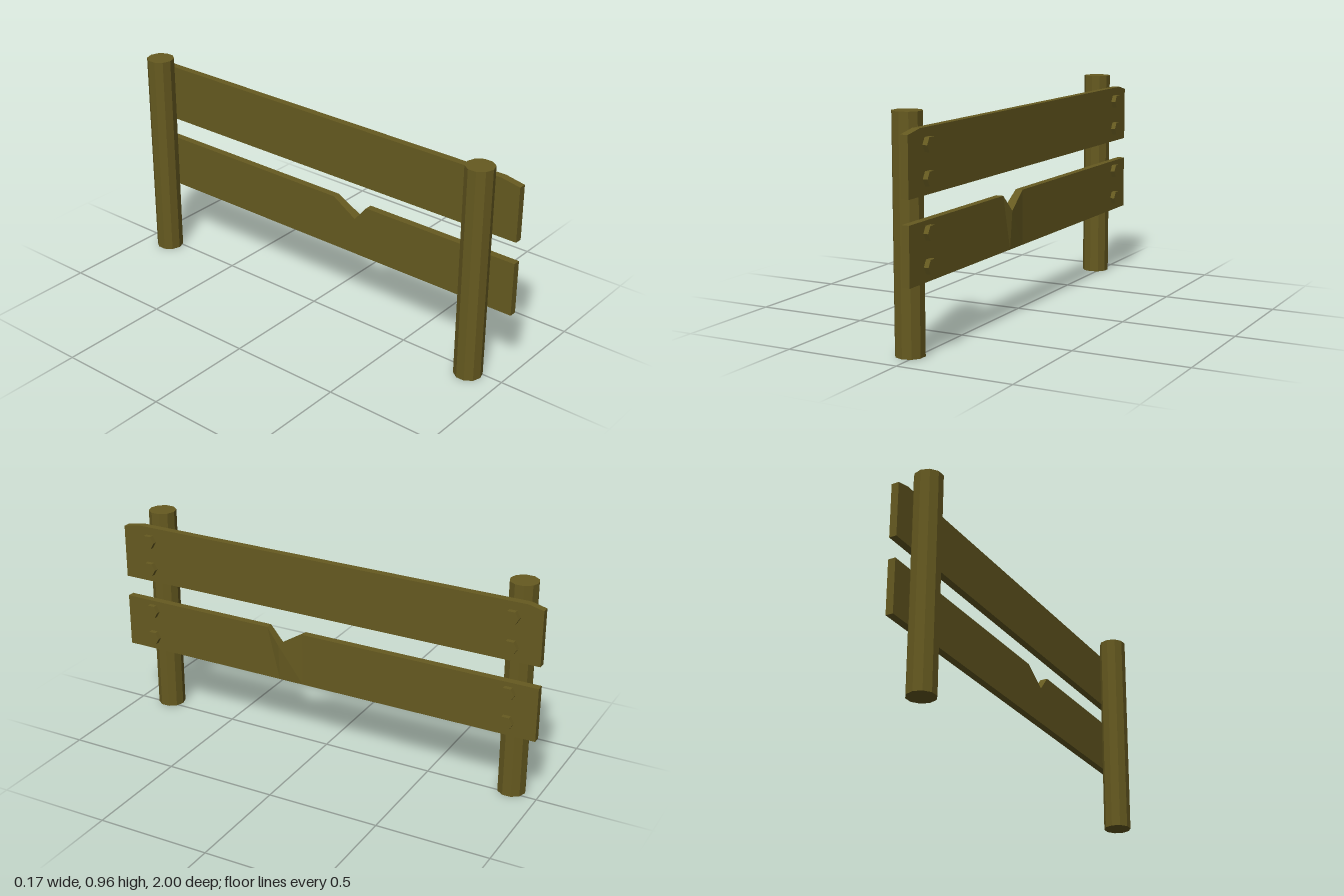
import * as THREE from 'three';

const wood = new THREE.MeshStandardMaterial({ color: 0x665a20, flatShading: true });

function add(group, name, geometry, x = 0, y = 0, z = 0) {
  const mesh = new THREE.Mesh(geometry, wood);
  mesh.name = name;
  mesh.position.set(x, y, z);
  group.add(mesh);
  return mesh;
}

// Plank lofted along z from sections [z, top y, outward push of the front top edge]
function plankGeometry(bottom, sections) {
  const back = 0.032, front = 0.065;
  const rings = sections.map(([z, top, push = 0]) => [
    [back, bottom, z], [front, bottom, z], [front + push, top, z], [back, top, z],
  ]);
  const pos = [];
  const quad = (a, b, c, d) => pos.push(...a, ...b, ...c, ...a, ...c, ...d);
  for (let i = 0; i < rings.length - 1; i++) {
    const a = rings[i], b = rings[i + 1];
    for (let j = 0; j < 4; j++) {
      const k = (j + 1) % 4;
      quad(a[j], a[k], b[k], b[j]);
    }
  }
  const first = rings[0], last = rings[rings.length - 1];
  quad(first[0], first[3], first[2], first[1]);
  quad(last[0], last[1], last[2], last[3]);
  const geometry = new THREE.BufferGeometry();
  geometry.setAttribute('position', new THREE.Float32BufferAttribute(pos, 3));
  geometry.computeVertexNormals();
  return geometry;
}

export function createModel() {
  const group = new THREE.Group();
  group.name = 'fence';

  // Ten-sided posts
  const post = new THREE.CylinderGeometry(0.0615, 0.0615, 0.96, 10);
  add(group, 'postNear', post, -0.0285, 0.48, 0.853);
  add(group, 'postFar', post, -0.0285, 0.48, -0.878);

  // Upper plank with clipped top corners
  add(group, 'upperPlank', plankGeometry(0.645, [
    [-1, 0.887], [-0.935, 0.903], [0.915, 0.903], [1, 0.887],
  ]));

  // Lower plank with a splintered notch that bulges outward
  add(group, 'lowerPlank', plankGeometry(0.308, [
    [-1, 0.548], [0.085, 0.548], [0.2, 0.476, 0.011], [0.26, 0.548], [1, 0.548],
  ]));

  // Hexagonal bolt heads
  const bolt = new THREE.CylinderGeometry(0.033, 0.033, 0.021, 6).rotateZ(-Math.PI / 2);
  for (const z of [0.865, -0.872]) {
    for (const y of [0.838, 0.708, 0.5, 0.369]) add(group, 'bolt', bolt, 0.0755, y, z);
  }
  return group;
}
